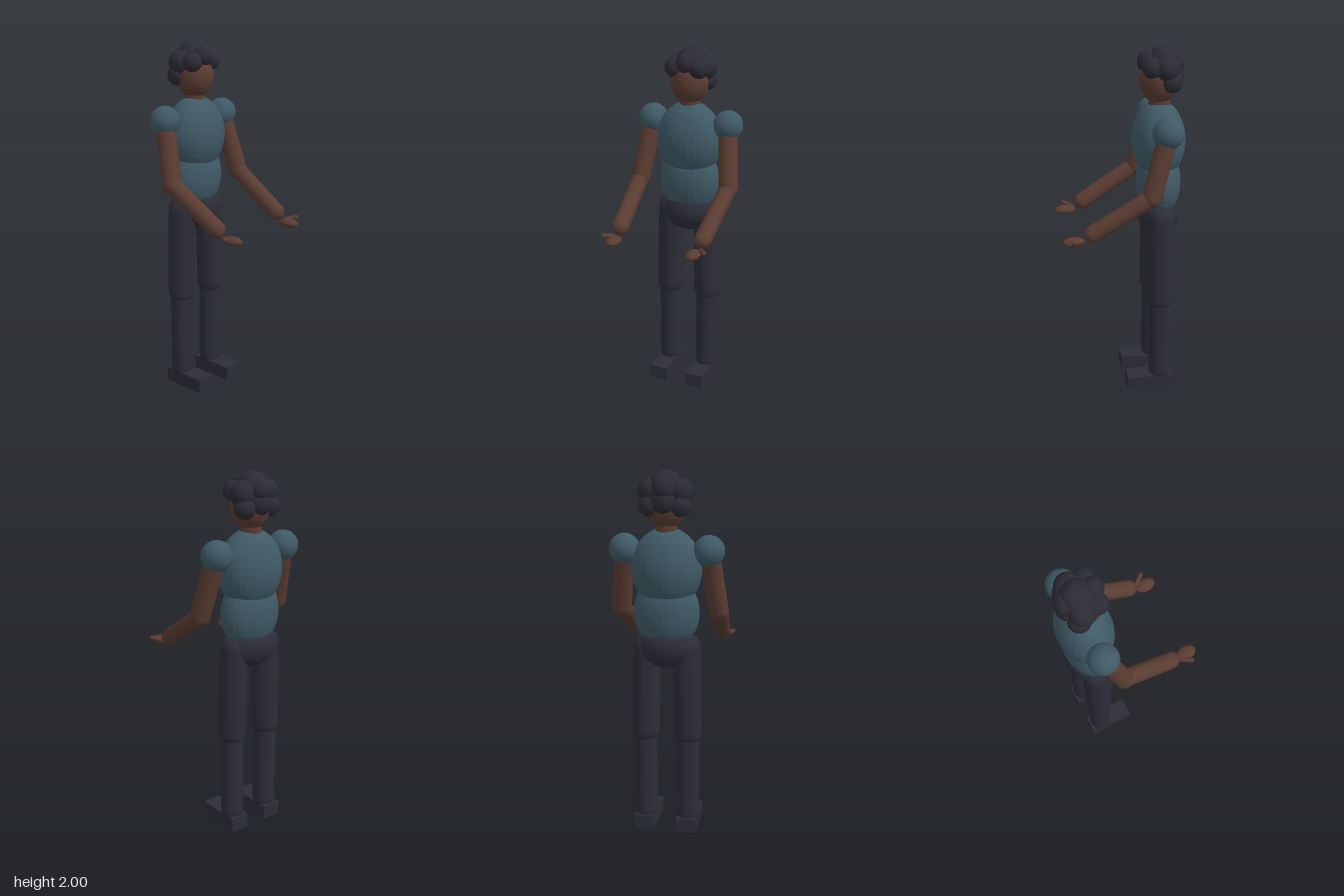
import * as THREE from 'three';

const mat = (name, color) => {
  const m = new THREE.MeshStandardMaterial({ color, flatShading: true });
  m.name = name;
  return m;
};

export function createModel() {
  const model = new THREE.Group();
  model.name = 'standingFigure';
  const shirt = mat('teal shirt', 0x3f5a66);
  const skin = mat('brown skin', 0x5a3c32);
  const trousers = mat('dark trousers', 0x2d2d38);
  const hair = mat('dark hair', 0x2b2b33);
  const shoes = mat('dark shoes', 0x2d2d37);

  const add = (name, geometry, material, parent = model) => {
    const mesh = new THREE.Mesh(geometry, material);
    mesh.name = name;
    parent.add(mesh);
    return mesh;
  };
  // Ellipsoid with centre and radii
  const ball = (name, material, [x, y, z], [rx, ry, rz], parent) => {
    const mesh = add(name, new THREE.SphereGeometry(1, 28, 18), material, parent);
    mesh.position.set(x, y, z);
    mesh.scale.set(rx, ry, rz);
    return mesh;
  };
  // Round-ended limb between two joint centres
  const limb = (name, material, from, to, r, parent) => {
    const a = new THREE.Vector3(...from), b = new THREE.Vector3(...to);
    const d = b.clone().sub(a);
    const mesh = add(name, new THREE.CapsuleGeometry(r, d.length(), 6, 20), material, parent);
    mesh.position.copy(a).add(b).multiplyScalar(0.5);
    mesh.quaternion.setFromUnitVectors(new THREE.Vector3(0, 1, 0), d.normalize());
    return mesh;
  };

  // Torso
  ball('chest', shirt, [0, 1.485, -0.207], [0.19, 0.217, 0.147]);
  ball('waist', shirt, [0, 1.25, -0.21], [0.178, 0.205, 0.122]);
  ball('pelvis', trousers, [0, 1.065, -0.21], [0.16, 0.12, 0.119]);

  // Neck and head
  const neck = add('neck', new THREE.CylinderGeometry(0.056, 0.06, 0.16, 20), skin);
  neck.position.set(0, 1.71, -0.21);
  ball('head', skin, [0, 1.815, -0.205], [0.108, 0.125, 0.106]);

  // Hair made of overlapping puffs: x, y, z, radius
  const curls = new THREE.Group();
  curls.name = 'hair';
  model.add(curls);
  const puff = (x, y, z, r) => ball('hairPuff', hair, [x, y, z], [r, r, r], curls);
  puff(0, 1.915, -0.228, 0.085);
  puff(0, 1.92, -0.142, 0.055);
  puff(0, 1.905, -0.28, 0.062);
  puff(0, 1.84, -0.272, 0.068);
  for (const s of [1, -1]) {
    puff(s * 0.075, 1.888, -0.235, 0.069);
    puff(s * 0.07, 1.893, -0.155, 0.055);
    puff(s * 0.08, 1.818, -0.258, 0.058);
  }

  // Arms and legs on both sides
  for (const s of [1, -1]) {
    const side = s > 0 ? 'left' : 'right';
    const arm = new THREE.Group();
    arm.name = side + 'Arm';
    const leg = new THREE.Group();
    leg.name = side + 'Leg';
    model.add(arm, leg);

    const elbow = [s * 0.268, 1.25, -0.123], wrist = [s * 0.246, 1.055, 0.189];
    ball('sleeve', shirt, [s * 0.226, 1.584, -0.214], [0.083, 0.083, 0.083], arm);
    limb('upperArm', skin, [s * 0.226, 1.584, -0.214], elbow, 0.054, arm);
    limb('forearm', skin, elbow, wrist, 0.048, arm);
    ball('hand', skin, [s * 0.235, 1.01, 0.293], [0.039, 0.025, 0.06], arm);
    limb('thumb', skin, [s * 0.26, 1.02, 0.25], [s * 0.296, 1.032, 0.297], 0.013, arm);

    const knee = [s * 0.119, 0.58, -0.21];
    limb('thigh', trousers, [s * 0.109, 1.06, -0.21], knee, 0.077, leg);
    limb('shin', trousers, knee, [s * 0.118, 0.1, -0.212], 0.064, leg);
    const shoe = add('shoe', new THREE.BoxGeometry(0.11, 0.08, 0.266), shoes, leg);
    shoe.position.set(s * 0.118, 0.04, -0.15);
  }
  return model;
}
